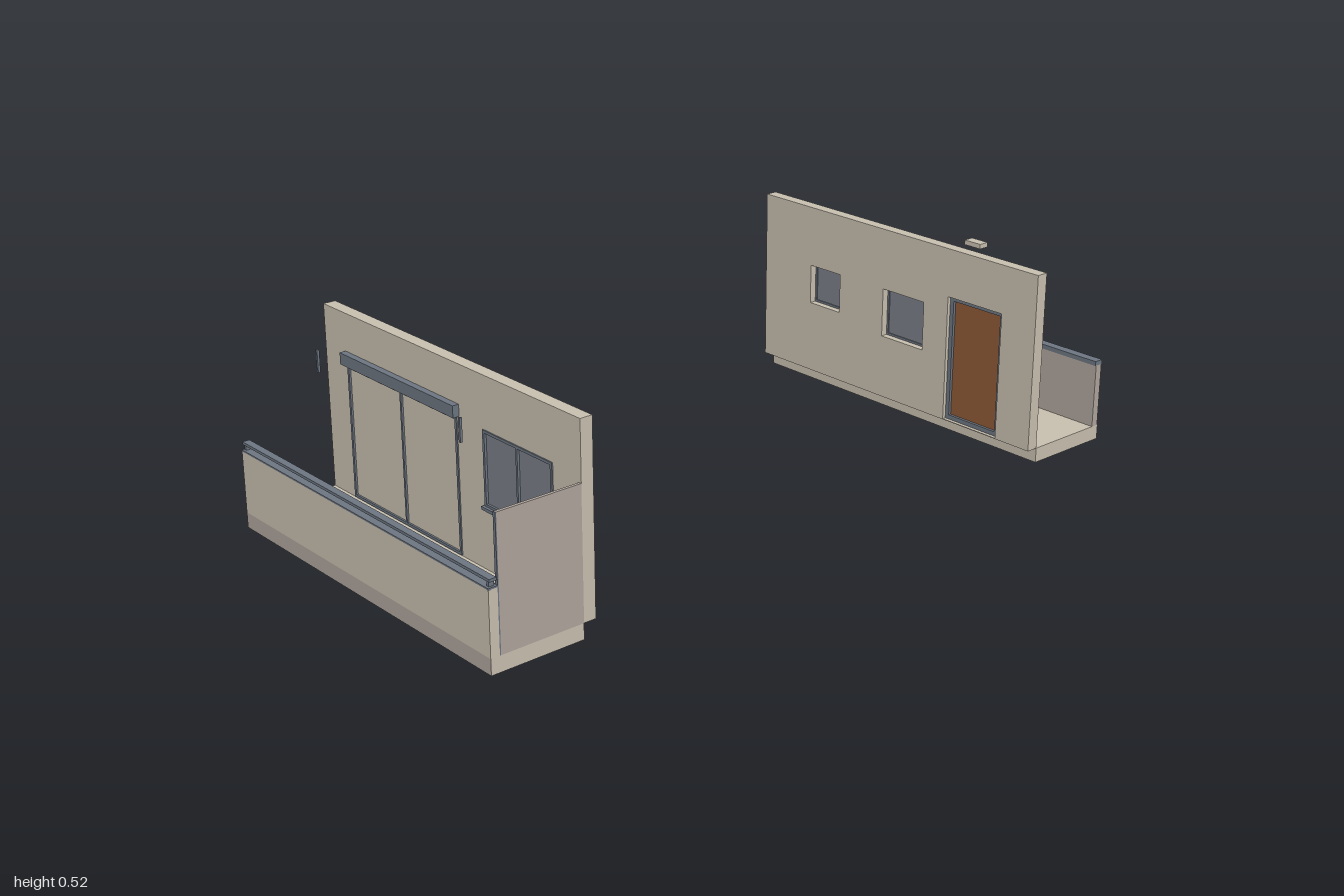
import * as THREE from 'three';

const mat = (name, color) => new THREE.MeshStandardMaterial({ name, color });

export function createModel() {
  const wallMat = mat('beige plaster', 0xc9c1b1);
  const mauve = mat('mauve plaster', 0xb1a69e);
  const frameMat = mat('blue grey metal', 0x6d7682);
  const glass = mat('grey glass', 0x7b8189);
  const wood = mat('brown wood', 0x8f5a36);
  const root = new THREE.Group();
  root.name = 'balconyAndGallery';
  const X = 0.498;

  // Box given by its limits on each axis
  const box = (parent, name, m, x0, x1, y0, y1, z0, z1) => {
    const mesh = new THREE.Mesh(new THREE.BoxGeometry(x1 - x0, y1 - y0, Math.abs(z1 - z0)), m);
    mesh.position.set((x0 + x1) / 2, (y0 + y1) / 2, (z0 + z1) / 2);
    mesh.name = name;
    parent.add(mesh);
    return mesh;
  };
  const rectangle = (P, x0, x1, y0, y1) => {
    const p = new P();
    p.moveTo(x0, y0).lineTo(x1, y0).lineTo(x1, y1).lineTo(x0, y1).closePath();
    return p;
  };
  // Wall slab with rectangular openings
  const wall = (parent, z, holes) => {
    const s = rectangle(THREE.Shape, -X, X, 0.04, 0.518);
    holes.forEach((h) => s.holes.push(rectangle(THREE.Path, ...h)));
    const mesh = new THREE.Mesh(new THREE.ExtrudeGeometry(s, { depth: 0.033, bevelEnabled: false }), wallMat);
    mesh.position.z = z;
    mesh.name = 'wall';
    parent.add(mesh);
  };
  // Four-sided frame inside an opening
  const frame = (parent, name, [x0, x1, y0, y1], z0, z1, t) => {
    const g = new THREE.Group();
    g.name = name;
    parent.add(g);
    box(g, 'jamb', frameMat, x0, x0 + t, y0, y1, z0, z1);
    box(g, 'jamb', frameMat, x1 - t, x1, y0, y1, z0, z1);
    box(g, 'head', frameMat, x0 + t, x1 - t, y1 - t, y1, z0, z1);
    box(g, 'bottomRail', frameMat, x0 + t, x1 - t, y0, y0 + t, z0, z1);
    return g;
  };

  // ---- Front balcony ----
  const front = new THREE.Group();
  front.name = 'frontBalcony';
  root.add(front);
  const slider = [-0.402, 0.048, 0.042, 0.387];
  const win = [0.147, 0.4, 0.2, 0.387];
  wall(front, 0.717, [slider, win]);
  box(front, 'floorSlab', wallMat, -X, X, 0, 0.04, 0.75, 0.998);
  box(front, 'fascia', mauve, -X, X, 0, 0.04, 0.998, 1);
  box(front, 'parapet', wallMat, -X, X, 0.04, 0.2, 0.976, 1);
  box(front, 'parapetCap', frameMat, -X, X, 0.198, 0.204, 0.974, 1);
  box(front, 'handrail', frameMat, -X, X, 0.217, 0.224, 0.978, 0.997);
  for (const x of [-0.492, 0.488]) box(front, 'railPost', frameMat, x - 0.004, x + 0.004, 0.204, 0.217, 0.98, 0.994);
  box(front, 'sideScreen', mauve, 0.49, 0.498, 0.04, 0.37, 0.75, 0.973);
  box(front, 'sideScreenEdge', frameMat, 0.49, 0.498, 0.04, 0.37, 0.973, 0.976);

  // Sliding door with two panels
  box(front, 'doorPanels', wallMat, -0.4, 0.046, 0.042, 0.385, 0.742, 0.748);
  frame(front, 'slidingDoorFrame', slider, 0.739, 0.753, 0.007);
  box(front, 'doorMullion', frameMat, -0.18, -0.174, 0.049, 0.38, 0.739, 0.753);
  box(front, 'awningBox', frameMat, -0.41, 0.056, 0.39, 0.42, 0.75, 0.767);

  // Two-pane window
  box(front, 'windowGlass', glass, 0.15, 0.397, 0.203, 0.384, 0.742, 0.747);
  frame(front, 'windowFrame', win, 0.739, 0.753, 0.007);
  box(front, 'windowMullion', frameMat, 0.27, 0.276, 0.207, 0.38, 0.739, 0.753);
  box(front, 'windowSill', frameMat, 0.143, 0.404, 0.193, 0.201, 0.748, 0.76);

  // Hanging rods
  for (const x of [-0.303, 0.263]) box(front, 'hangingRod', frameMat, x - 0.003, x + 0.003, 0.43, 0.487, 0.888, 0.894);

  // Low items on the floor
  const pot = new THREE.Group();
  pot.name = 'planter';
  pot.position.set(-0.297, 0.04, 0.92);
  front.add(pot);
  const potShell = new THREE.Mesh(new THREE.CylinderGeometry(0.032, 0.023, 0.06, 5), mauve);
  potShell.position.y = 0.03;
  potShell.name = 'potShell';
  const soil = new THREE.Mesh(new THREE.CylinderGeometry(0.021, 0.021, 0.004, 5), glass);
  soil.position.y = 0.061;
  soil.name = 'potFill';
  pot.add(potShell, soil);
  box(front, 'storageUnit', wallMat, 0.307, 0.435, 0.04, 0.13, 0.885, 0.932);
  box(front, 'unitPipe', frameMat, 0.435, 0.447, 0.09, 0.098, 0.896, 0.904);

  // ---- Back gallery ----
  const back = new THREE.Group();
  back.name = 'backGallery';
  root.add(back);
  const door = [0.2, 0.385, 0.042, 0.387];
  const windows = [[-0.035, 0.115, 0.215, 0.35], [-0.315, -0.2, 0.24, 0.35]];
  wall(back, -0.75, [door, ...windows]);
  box(back, 'floorSlab', wallMat, -X, X, 0, 0.04, -1, -0.75);
  box(back, 'parapet', mauve, -X, X, 0.04, 0.215, -0.998, -0.977);
  box(back, 'parapetCap', frameMat, -X, X, 0.213, 0.225, -1, -0.974);

  // Entrance door
  box(back, 'doorLeaf', wood, 0.21, 0.375, 0.042, 0.377, -0.746, -0.735);
  frame(back, 'doorFrame', door, -0.754, -0.727, 0.012);
  box(back, 'doorPlate', frameMat, 0.288, 0.33, 0.275, 0.302, -0.75, -0.746);
  box(back, 'doorHandle', frameMat, 0.228, 0.238, 0.2, 0.222, -0.753, -0.746);

  // Barred windows
  for (const w of windows) {
    const [x0, x1, y0, y1] = w;
    box(back, 'windowGlass', glass, x0 + 0.003, x1 - 0.003, y0 + 0.003, y1 - 0.003, -0.744, -0.739);
    frame(back, 'windowFrame', w, -0.75, -0.736, 0.006);
    box(back, 'windowSill', wallMat, x0 - 0.004, x1 + 0.004, y0 - 0.008, y0, -0.76, -0.745);
    for (let i = 1; i <= 4; i++) {
      const x = x0 + ((x1 - x0) * i) / 5;
      box(back, 'windowBar', frameMat, x - 0.003, x + 0.003, y0, y1, -0.757, -0.751);
    }
  }

  // Cabinet door, wall bracket and ceiling lamp
  box(back, 'cabinetDoor', mauve, 0.396, 0.492, 0.04, 0.366, -0.757, -0.75);
  box(back, 'cabinetKnob', frameMat, 0.444, 0.452, 0.207, 0.217, -0.76, -0.757);
  box(back, 'bracketArm', wallMat, 0.147, 0.183, 0.276, 0.283, -0.757, -0.75);
  box(back, 'bracketDrop', wallMat, 0.147, 0.154, 0.254, 0.276, -0.757, -0.75);
  box(back, 'ceilingLamp', wallMat, 0.112, 0.167, 0.478, 0.491, -0.902, -0.873);
  return root;
}
